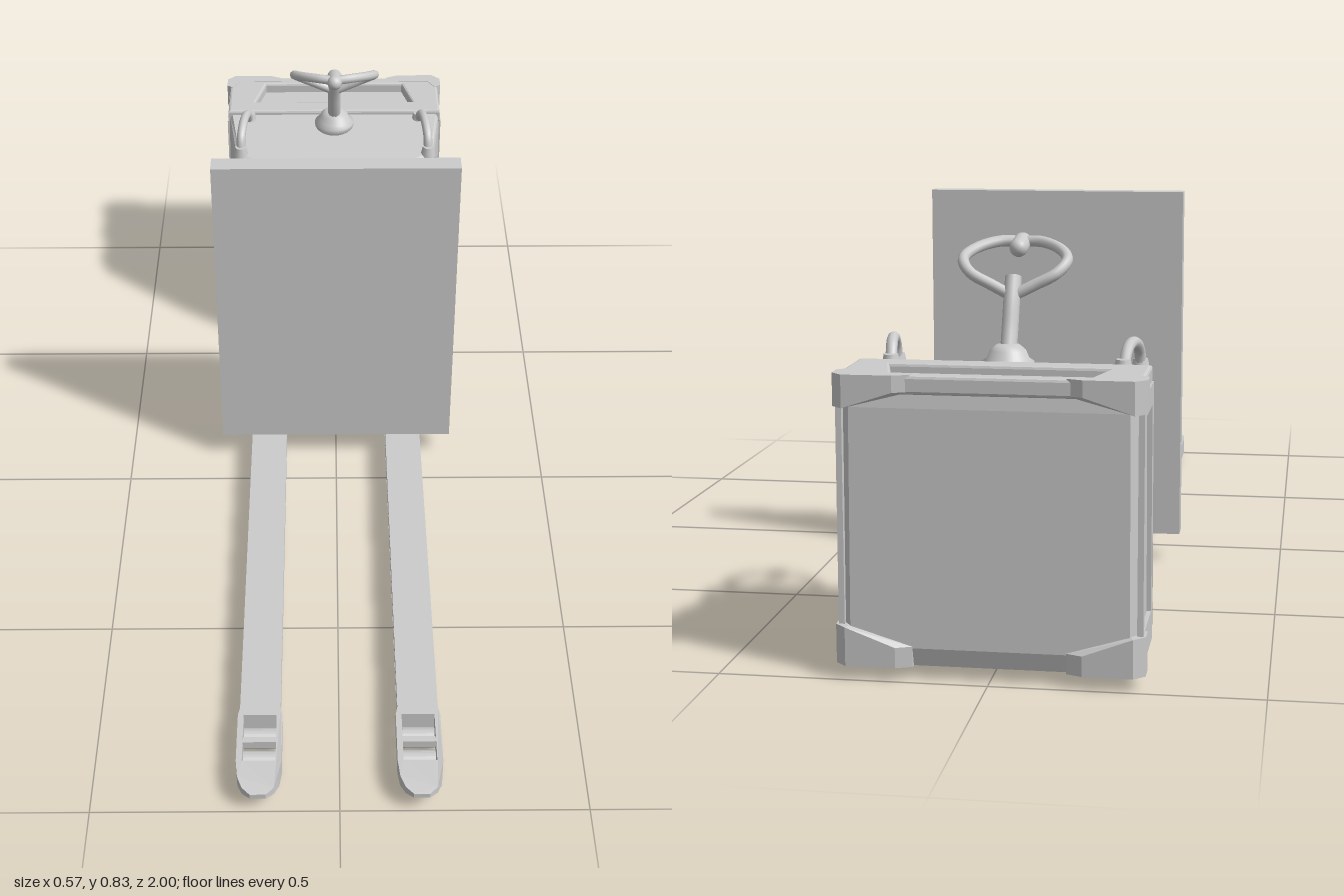
import * as THREE from 'three';

const grey = new THREE.MeshStandardMaterial({ color: 0xcccccc, flatShading: true, side: THREE.DoubleSide });
const smooth = new THREE.MeshStandardMaterial({ color: 0xcccccc });
const V = (x, y, z) => new THREE.Vector3(x, y, z);

export function createModel() {
  const model = new THREE.Group();
  model.name = 'palletTruck';

  const add = (name, geo, mat = grey) => {
    const m = new THREE.Mesh(geo, mat);
    m.name = name;
    model.add(m);
    return m;
  };
  const box = (name, x0, x1, y0, y1, z0, z1) => add(name,
    new THREE.BoxGeometry(Math.abs(x1 - x0), y1 - y0, Math.abs(z1 - z0))
      .translate((x0 + x1) / 2, (y0 + y1) / 2, (z0 + z1) / 2));
  const vecs = pts => pts.map(p => new THREE.Vector2(p[0], p[1]));
  const outline = (pts, hole) => {
    const s = new THREE.Shape(vecs(pts));
    if (hole) s.holes.push(new THREE.Path(vecs(hole)));
    return s;
  };
  // plan outline (x, z) extruded between two heights
  const slab = (shape, y0, y1, bevel = 0) => new THREE.ExtrudeGeometry(shape, {
    depth: y1 - y0 - 2 * bevel, bevelEnabled: bevel > 0, bevelSize: bevel,
    bevelThickness: bevel, bevelOffset: -bevel, bevelSegments: 2,
  }).rotateX(Math.PI / 2).translate(0, y1 - bevel, 0);
  const reshape = (geo, rule) => {
    const p = geo.attributes.position;
    for (let i = 0; i < p.count; i++) p.setY(i, rule(p.getX(i), p.getY(i), p.getZ(i)));
    geo.computeVertexNormals();
    return geo;
  };
  const tube = (name, pts, r, n = 24) => add(name,
    new THREE.TubeGeometry(new THREE.CatmullRomCurve3(pts), n, r, 10), smooth);
  // symmetric horizontal ring from its +x half, front to back
  const ring = half => [...half].reverse().map(p => V(-p.x, p.y, p.z)).concat(half);
  const loft = rings => {
    const out = [], n = rings[0].length, tri = (...v) => v.forEach(p => out.push(p.x, p.y, p.z));
    for (let i = 0; i < rings.length - 1; i++) for (let j = 0; j < n; j++) {
      const k = (j + 1) % n, a = rings[i], b = rings[i + 1];
      tri(a[j], a[k], b[k]);
      tri(a[j], b[k], b[j]);
    }
    const mid = r => r.reduce((s, p) => s.add(p), V(0, 0, 0)).divideScalar(n);
    const lo = rings[0], hi = rings.at(-1), cl = mid(lo), ch = mid(hi);
    for (let j = 0; j < n; j++) {
      const k = (j + 1) % n;
      tri(cl, lo[k], lo[j]);
      tri(ch, hi[j], hi[k]);
    }
    const g = new THREE.BufferGeometry();
    g.setAttribute('position', new THREE.Float32BufferAttribute(out, 3));
    g.computeVertexNormals();
    return g;
  };

  // front housing: [y, front z, width factor, panel recess, rearward slope]
  const levels = [
    [0.025, -0.575, 0.95, 0, 0], [0.065, -0.56, 1, 0, 0], [0.1, -0.561, 1, 0, 0],
    [0.105, -0.561, 1, 0.014, 0], [0.2, -0.566, 1, 0.014, 0], [0.3, -0.574, 0.995, 0.014, 0],
    [0.42, -0.59, 0.985, 0.014, 0], [0.425, -0.591, 0.985, 0, 0],
    [0.5, -0.602, 0.98, 0, 0.14], [0.515, -0.608, 0.97, 0, 0.16], [0.522, -0.622, 0.95, 0, 0.18],
  ];
  add('frontHousing', loft(levels.map(([y, zf, w, n, s]) => ring(
    [[0.13, zf - n], [0.14, zf], [0.205 * w, zf], [0.238 * w, zf - 0.02], [0.26 * w, zf - 0.06], [0.278 * w, -0.797]]
      .map(([x, z]) => V(x, y + s * (zf - z), z))))));
  box('housingSeam', -0.255, 0.255, 0.04, 0.54, -0.79, -0.81);

  // battery box with recessed top tray and side panels
  add('rearHousing', loft([
    [0.025, 0.26, -0.975], [0.06, 0.27, -0.985], [0.5, 0.268, -0.977], [0.535, 0.265, -0.972],
  ].map(([y, w, zb]) => ring([[w, -0.805], [w, zb + 0.02], [w - 0.015, zb]].map(([x, z]) => V(x, y, z))))));
  add('topCover', slab(outline(
    [[-0.275, -0.805], [0.275, -0.805], [0.275, -0.96], [0.258, -0.982], [-0.258, -0.982], [-0.275, -0.96]],
    [[-0.205, -0.855], [-0.18, -0.948], [0.18, -0.948], [0.205, -0.855]]), 0.525, 0.56, 0.006));
  const sideFrame = outline(
    [[-0.805, 0.04], [-0.805, 0.53], [-0.972, 0.53], [-0.978, 0.04]],
    [[-0.83, 0.1], [-0.96, 0.1], [-0.96, 0.49], [-0.83, 0.49]]);
  for (const x of [0.278, -0.267]) add('sidePanelFrame',
    new THREE.ExtrudeGeometry(sideFrame, { depth: 0.011, bevelEnabled: false })
      .rotateY(-Math.PI / 2).translate(x, 0, 0));

  // load backrest
  box('backrest', -0.277, 0.277, 0.063, 0.826, -0.135, -0.09);

  // hinged platform, rising away from the housing
  add('platform', reshape(slab(outline(
    [[-0.145, -0.575], [0.145, -0.575], [0.14, -0.21], [0.128, -0.165], [0.108, -0.138],
      [-0.108, -0.138], [-0.128, -0.165], [-0.14, -0.21]]), 0.133, 0.146),
  (x, y, z) => y + (z + 0.14) * (y > 0.14 ? 0.085 : 0.115)));
  box('platformHinge', -0.105, 0.105, 0.1, 0.13, -0.585, -0.555);
  box('forkCarriage', -0.205, 0.205, 0.03, 0.06, -0.64, -0.555);

  for (const s of [-1, 1]) {
    // fork with roller opening and tapered toe
    const half = [[0.042, -0.6], [0.042, 0.72], [0.042, 0.78], [0.046, 0.8], [0.046, 0.92], [0.042, 0.96], [0.032, 0.985], [0.016, 1]];
    const c = 0.163 * s;
    const pts = half.map(([x, z]) => [c + x, z]).concat([...half].reverse().map(([x, z]) => [c - x, z]));
    const hole = [[c - 0.034, 0.8], [c + 0.034, 0.8], [c + 0.034, 0.92], [c - 0.034, 0.92]];
    add('fork', reshape(slab(outline(pts, hole), 0.032, 0.058), (x, y, z) => {
      if (y > 0.045) return z > 0.97 ? y - (z - 0.97) * 0.2 : y;
      if (z < 0.73) return y;
      if (z < 0.95) return y - 0.014 * Math.min(1, (z - 0.72) / 0.08);
      return 0.018 + (z - 0.92) * 0.28;
    }));
    box('rollerCrossbar', c - 0.036, c + 0.036, 0.034, 0.052, 0.853, 0.867);
    for (const z of [0.83, 0.89]) add('loadRoller',
      new THREE.CylinderGeometry(0.021, 0.021, 0.066, 20).rotateZ(Math.PI / 2).translate(c, 0.021, z));
    box('forkBracket', s * 0.15, s * 0.2, 0.055, 0.085, -0.58, -0.53);

    // support wheel under the housing
    add('supportWheel', new THREE.CylinderGeometry(0.034, 0.034, 0.06, 24)
      .rotateZ(Math.PI / 2).translate(0.163 * s, 0.034, -0.72));

    // grab rail and its feet
    const rail = [[0.238, 0.525, -0.65], [0.237, 0.565, -0.665], [0.231, 0.586, -0.71], [0.224, 0.58, -0.755], [0.219, 0.545, -0.785]]
      .map(([x, y, z]) => V(s * x, y, z));
    tube('grabRail', rail, 0.011);
    for (const p of [rail[0], rail[4]]) add('railFoot',
      new THREE.CylinderGeometry(0.014, 0.019, 0.025, 12).translate(p.x, p.y + 0.008, p.z), smooth);

    // corner bumpers, cut away towards the middle of the back
    const corner = outline([[0.14, -0.965], [0.14, -0.985], [0.17, -0.997], [0.262, -0.998], [0.283, -0.978],
      [0.283, -0.945], [0.268, -0.935], [0.25, -0.965]].map(([x, z]) => [s * x, z]));
    add('lowerBumper', reshape(slab(corner, 0.025, 0.098),
      (x, y) => y > 0.06 && Math.abs(x) < 0.2 ? y - 0.035 : y));
    add('upperBumper', reshape(slab(corner, 0.5, 0.561).translate(0, 0, 0.006),
      (x, y) => y < 0.53 && Math.abs(x) < 0.2 ? y + 0.03 : y));

    // open loop on each side of the tiller head
    tube('tillerLoop', [[0, 0.762, -0.6], [0.04, 0.763, -0.61], [0.082, 0.752, -0.642], [0.1, 0.735, -0.68],
      [0.082, 0.712, -0.706], [0.04, 0.69, -0.712], [0, 0.67, -0.715]].map(([x, y, z]) => V(s * x, y, z)), 0.011, 32);
  }

  // tiller: base, arm and control grip
  add('tillerBase', new THREE.LatheGeometry(vecs(
    [[0, 0.535], [0.05, 0.535], [0.05, 0.553], [0.04, 0.56], [0.034, 0.575], [0.022, 0.585], [0, 0.587]]), 28)
    .translate(0, 0, -0.765), smooth);
  tube('tillerArm', [V(0, 0.56, -0.765), V(0, 0.61, -0.742), V(0, 0.66, -0.722), V(0, 0.705, -0.7)], 0.016);
  add('tillerGrip', new THREE.CapsuleGeometry(0.018, 0.045, 6, 14).rotateX(1.4).translate(0, 0.757, -0.615), smooth);

  return model;
}
